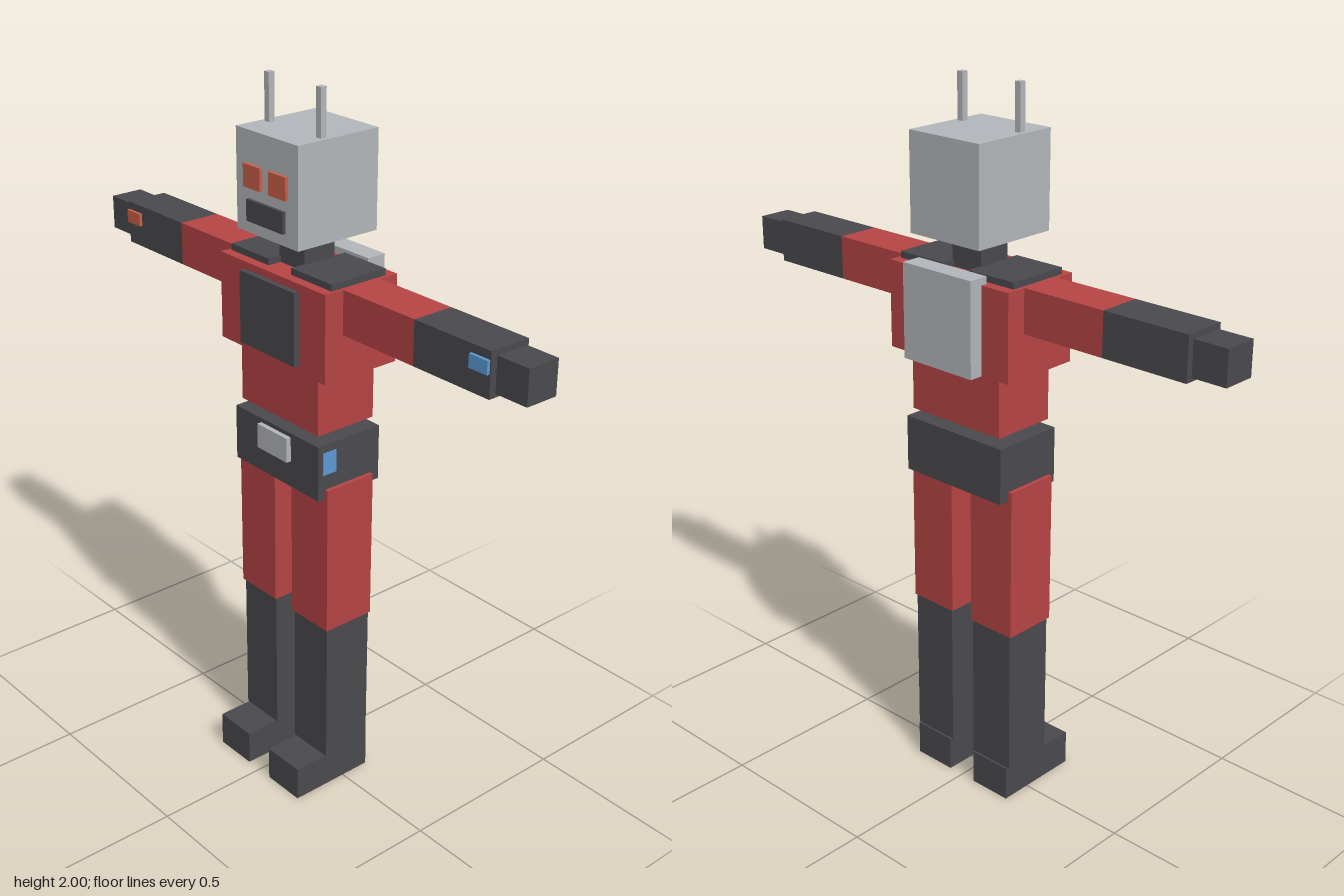
import * as THREE from 'three';

const flat = (name, color) => {
  const m = new THREE.MeshStandardMaterial({ color });
  m.name = name;
  return m;
};

export function createModel() {
  const red = flat('red', 0xb64444);
  const dark = flat('charcoal', 0x4a494d);
  const grey = flat('light grey', 0xb3b6ba);
  const orange = flat('orange red', 0xcb5f4a);
  const blue = flat('blue', 0x5a9bd5);

  const model = new THREE.Group();
  model.name = 'robot';

  // Box given by its lower and upper limits on each axis
  const box = (name, mat, [x0, x1], [y0, y1], [z0, z1]) => {
    const mesh = new THREE.Mesh(new THREE.BoxGeometry(x1 - x0, y1 - y0, z1 - z0), mat);
    mesh.position.set((x0 + x1) / 2, (y0 + y1) / 2, (z0 + z1) / 2);
    mesh.name = name;
    model.add(mesh);
  };
  // Same box on both sides, mirrored in x
  const pair = (name, mat, [x0, x1], y, z, rightMat = mat) => {
    box(name + 'Left', mat, [x0, x1], y, z);
    box(name + 'Right', rightMat, [-x1, -x0], y, z);
  };

  // Head
  box('head', grey, [-0.12, 0.12], [1.61, 1.875], [-0.14, 0.12]);
  pair('antenna', grey, [0.09, 0.108], [1.875, 2], [0.02, 0.038]);
  pair('eye', orange, [0.017, 0.083], [1.73, 1.79], [0.12, 0.129]);
  box('mouth', dark, [-0.072, 0.072], [1.643, 1.7], [0.12, 0.129]);
  box('neck', dark, [-0.05, 0.05], [1.52, 1.61], [-0.06, 0.04]);

  // Torso
  box('chest', red, [-0.21, 0.21], [1.28, 1.52], [-0.13, 0.108]);
  box('chestPlate', dark, [-0.11, 0.11], [1.3, 1.5], [0.108, 0.125]);
  pair('shoulderPad', dark, [0.045, 0.2], [1.52, 1.538], [-0.1, 0.08]);
  box('backpack', grey, [-0.12, 0.12], [1.28, 1.54], [-0.17, -0.112]);
  box('abdomen', red, [-0.157, 0.157], [1.11, 1.28], [-0.105, 0.085]);

  // Belt
  box('belt', dark, [-0.172, 0.172], [0.93, 1.087], [-0.115, 0.096]);
  box('buckle', grey, [-0.063, 0.06], [1.005, 1.075], [0.096, 0.11]);
  box('beltLight', blue, [0.172, 0.173], [1.0, 1.065], [0.035, 0.08]);

  // Arms
  pair('upperArm', red, [0.21, 0.463], [1.4, 1.52], [-0.072, 0.05]);
  pair('forearm', dark, [0.463, 0.715], [1.4, 1.52], [-0.072, 0.05]);
  pair('hand', dark, [0.72, 0.818], [1.413, 1.508], [-0.06, 0.036]);
  pair('wristLight', blue, [0.653, 0.712], [1.462, 1.498], [0.05, 0.059], orange);

  // Legs
  pair('thigh', red, [0.036, 0.184], [0.525, 0.957], [-0.085, 0.074]);
  pair('shin', dark, [0.041, 0.179], [0.1, 0.525], [-0.082, 0.068]);
  pair('foot', dark, [0.046, 0.174], [0, 0.1], [-0.088, 0.17]);

  return model;
}
